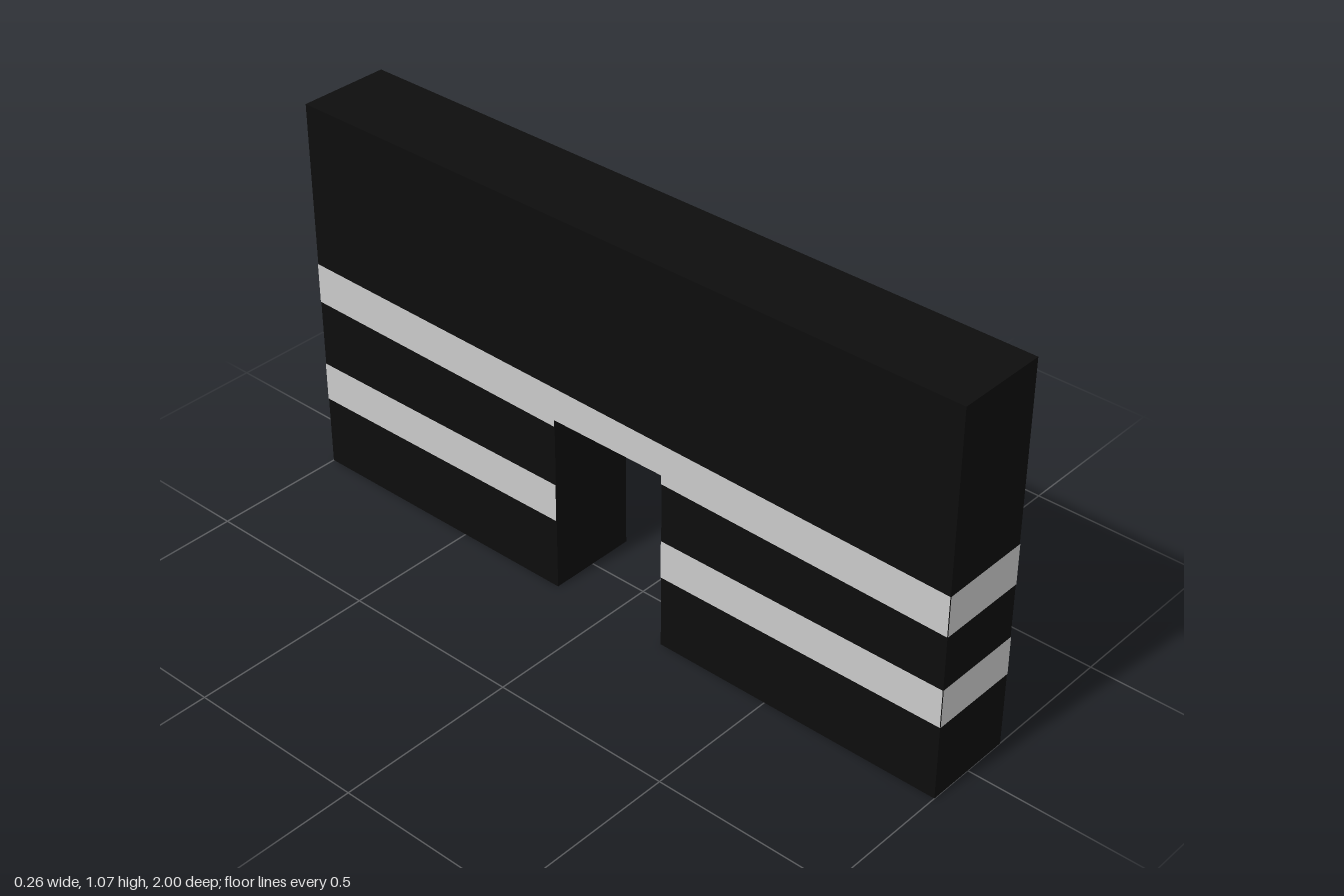
import * as THREE from 'three';

const HALF_W = 0.127, HALF_L = 1, HEIGHT = 1.066;
const NOTCH = 0.172, NOTCH_TOP = 0.504;
const GAP = 0.0015; // stripes sit just proud of the block

// Stripe edge heights [bottom, top] at the block's four upright corners
const STRIPES = {
  upper: { rightFront: [0.466, 0.578], rightBack: [0.508, 0.62], leftFront: [0.466, 0.577], leftBack: [0.498, 0.611] },
  lower: { rightFront: [0.209, 0.317], rightBack: [0.212, 0.322], leftFront: [0.21, 0.317], leftBack: [0.199, 0.309] },
};

const toShape = (pts) => new THREE.Shape(pts.map(([a, b]) => new THREE.Vector2(a, b)));

export function createModel() {
  const group = new THREE.Group();
  const black = new THREE.MeshStandardMaterial({ color: 0x0d0d0d });
  black.name = 'black';
  const lightGrey = new THREE.MeshStandardMaterial({ color: 0xcacaca });
  lightGrey.name = 'lightGrey';

  const add = (name, geometry, material) => {
    const mesh = new THREE.Mesh(geometry, material);
    mesh.name = name;
    group.add(mesh);
  };

  // Block with a square doorway through its long sides
  const profile = toShape([
    [-HALF_L, 0], [-NOTCH, 0], [-NOTCH, NOTCH_TOP], [NOTCH, NOTCH_TOP],
    [NOTCH, 0], [HALF_L, 0], [HALF_L, HEIGHT], [-HALF_L, HEIGHT],
  ]);
  const block = new THREE.ExtrudeGeometry(profile, { depth: 2 * HALF_W, bevelEnabled: false });
  block.translate(0, 0, -HALF_W).rotateY(-Math.PI / 2);
  add('block', block, black);

  // Flat stripe face: points are (distance along the face, height), then turned to face outward
  const addStripe = (name, pts, angle, distance) => {
    const face = new THREE.ShapeGeometry(toShape(pts));
    face.translate(0, 0, distance + GAP).rotateY(angle);
    add(name, face, lightGrey);
  };

  for (const [level, c] of Object.entries(STRIPES)) {
    // Long sides: slanted stripes, cut away where the doorway is
    for (const [side, s] of [['right', 1], ['left', -1]]) {
      const front = c[side + 'Front'], back = c[side + 'Back'];
      const at = (z, i) => THREE.MathUtils.lerp(back[i], front[i], (z + 1) / 2);
      const point = (z, i) => [-s * z, at(z, i)];
      const sections = [[-HALF_L, -NOTCH], [NOTCH, HALF_L]];
      sections.forEach(([z0, z1], k) => {
        addStripe(`${level}Stripe_${side}_${k ? 'front' : 'back'}`,
          [point(z0, 0), point(z1, 0), point(z1, 1), point(z0, 1)], s * Math.PI / 2, HALF_W);
      });
      if (level === 'upper') {
        addStripe(`upperStripe_${side}_overDoorway`,
          [[-s * -NOTCH, NOTCH_TOP], [-s * NOTCH, NOTCH_TOP], point(NOTCH, 1), point(-NOTCH, 1)],
          s * Math.PI / 2, HALF_W);
      }
    }
    // Short ends
    for (const [end, s] of [['Front', 1], ['Back', -1]]) {
      const r = c['right' + end], l = c['left' + end];
      addStripe(`${level}Stripe_end${end}`,
        [[-s * HALF_W, l[0]], [s * HALF_W, r[0]], [s * HALF_W, r[1]], [-s * HALF_W, l[1]]],
        s > 0 ? 0 : Math.PI, HALF_L);
    }
  }
  return group;
}
